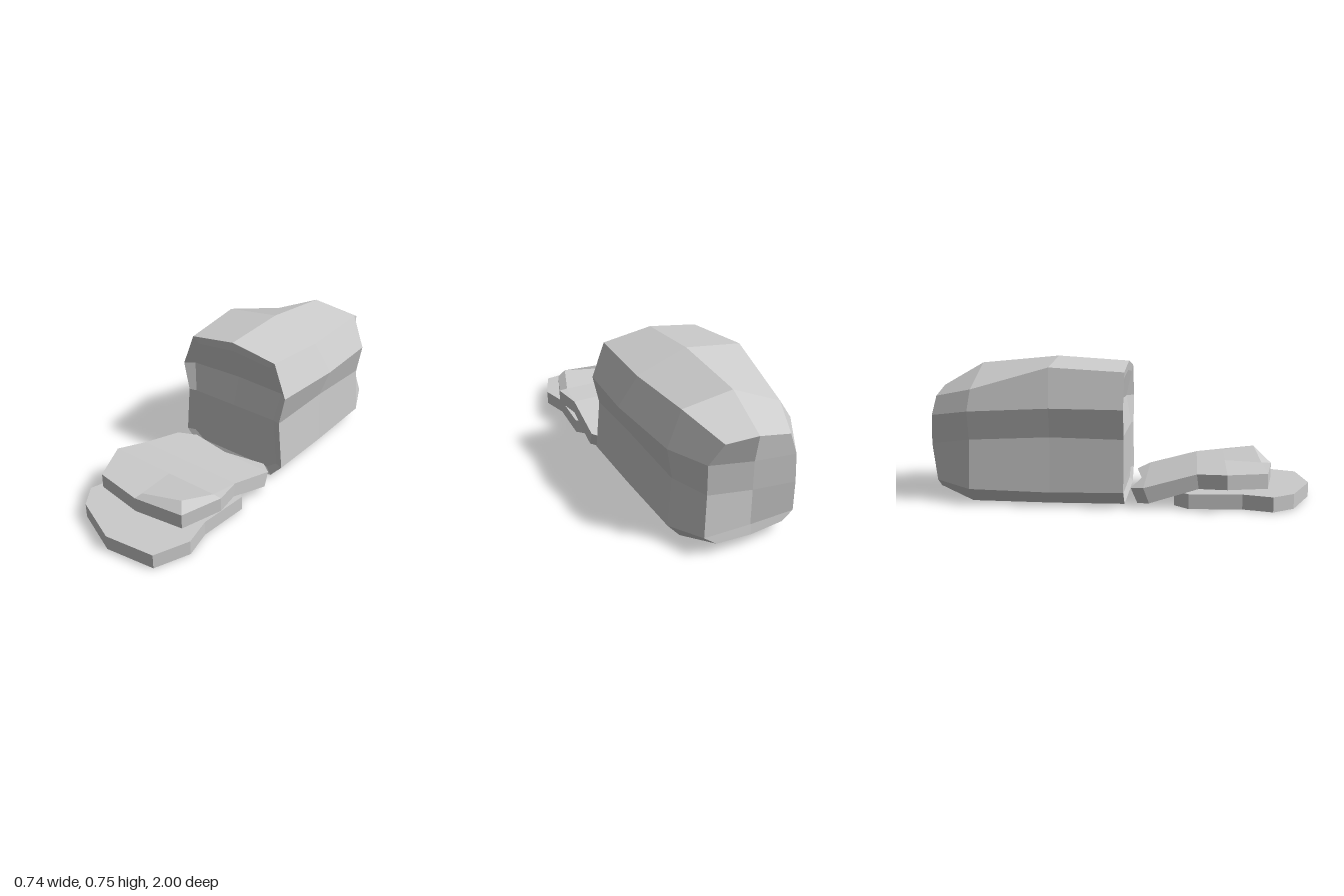
import * as THREE from 'three';

const ROWS = 5; // crown, shoulder, waist, foot, base: each row holds [left, centre, right] as seen face-on
const RIM = [[0, 0], [1, 0], [2, 0], [3, 0], [4, 0], [4, 1], [4, 2], [3, 2], [2, 2], [1, 2], [0, 2], [0, 1]];

// Lofts a stack of bread-shaped layers and caps the first and last with a 5 x 3 grid
function loft(name, layers) {
  const pos = [];
  const nor = [];
  // One facet with a single normal, split along its shorter diagonal
  const quad = (...corners) => {
    const [a, b, c, d] = corners.map(p => new THREE.Vector3(...p));
    const n = c.clone().sub(a).cross(d.clone().sub(b));
    if (n.length() < 1e-7) return;
    n.normalize();
    const order = a.distanceTo(c) < b.distanceTo(d) ? [a, b, c, a, c, d] : [a, b, d, b, c, d];
    order.forEach(v => {
      pos.push(v.x, v.y, v.z);
      nor.push(n.x, n.y, n.z);
    });
  };
  const cap = (g, flip) => {
    for (let r = 0; r < ROWS - 1; r++) {
      for (let c = 0; c < 2; c++) {
        const q = [g[r][c], g[r + 1][c], g[r + 1][c + 1], g[r][c + 1]];
        quad(...(flip ? q.reverse() : q));
      }
    }
  };
  for (let k = 0; k < layers.length - 1; k++) {
    const [a, b] = [layers[k], layers[k + 1]].map(g => RIM.map(([r, c]) => g[r][c]));
    a.forEach((p, i) => {
      const j = (i + 1) % a.length;
      quad(p, b[i], b[j], a[j]);
    });
  }
  cap(layers[0], false);
  cap(layers[layers.length - 1], true);

  const geometry = new THREE.BufferGeometry();
  geometry.setAttribute('position', new THREE.Float32BufferAttribute(pos, 3));
  geometry.setAttribute('normal', new THREE.Float32BufferAttribute(nor, 3));
  const mesh = new THREE.Mesh(geometry, new THREE.MeshStandardMaterial({ color: 0xcccccc }));
  mesh.name = name;
  return mesh;
}

// Upright layer from rows of [xMin, xMax, yMin side, yCentre, yMax side] at depth z
const upright = (z, rows) => rows.map(([x0, x1, y0, yc, y1]) => [[x0, y0, z], [0, yc, z], [x1, y1, z]]);

// Lying layer from rows of [xMin, xMax, z at xMin, zCentre, z at xMax, y], crown towards the front
const lying = rows => rows.map(([x0, x1, z0, zc, z1, y]) => [[x1, y, z1], [0, y, zc], [x0, y, z0]]);

function makeLoaf() {
  const cut = upright(0.03, [
    [-0.272, 0.268, 0.69, 0.73, 0.69],
    [-0.345, 0.338, 0.508, 0.508, 0.508],
    [-0.312, 0.305, 0.353, 0.353, 0.353],
    [-0.335, 0.33, 0.085, 0.085, 0.085],
    [-0.26, 0.26, 0.008, 0.005, 0.008],
  ]);
  // Slightly hollowed crumb inside the cut crust
  const depth = [0.005, 0.04, 0.01, 0.015, 0.015];
  const crumb = cut.map((row, r) => row.map(([x, y, z]) =>
    [x * 0.86, r === 0 ? (x ? 0.655 : 0.68) : r === 4 ? 0.04 : y, z - depth[r] - (!x && r === 1 ? 0.015 : 0)]));
  const middle = upright(-0.35, [
    [-0.31, 0.265, 0.715, 0.755, 0.66],
    [-0.335, 0.37, 0.51, 0.52, 0.52],
    [-0.31, 0.312, 0.36, 0.36, 0.365],
    [-0.325, 0.325, 0.075, 0.075, 0.075],
    [-0.26, 0.26, 0.005, 0, 0.005],
  ]);
  const rear = upright(-0.77, [
    [-0.265, 0.262, 0.595, 0.715, 0.68],
    [-0.335, 0.332, 0.49, 0.5, 0.5],
    [-0.305, 0.305, 0.34, 0.34, 0.34],
    [-0.33, 0.325, 0.085, 0.085, 0.085],
    [-0.26, 0.26, 0.008, 0.005, 0.008],
  ]);
  // Rounded heel, pinched on one side
  const end = [
    [[-0.175, 0.55, -0.98], [0, 0.59, -0.99], [0.165, 0.585, -0.975]],
    [[-0.2, 0.45, -1], [0, 0.45, -0.965], [0.205, 0.455, -0.91]],
    [[-0.21, 0.3, -1], [0, 0.3, -0.965], [0.205, 0.3, -0.91]],
    [[-0.24, 0.11, -0.965], [0, 0.11, -0.965], [0.24, 0.11, -0.955]],
    [[-0.18, 0.065, -0.965], [0, 0.06, -0.975], [0.18, 0.065, -0.965]],
  ];
  return loft('loaf', [crumb, cut, middle, rear, end]);
}

function makeFlatSlice() {
  const slab = y => lying([
    [-0.262, 0.266, 0.89, 0.998, 0.96, y],
    [-0.343, 0.337, 0.78, 0.78, 0.78, y],
    [-0.3, 0.3, 0.63, 0.63, 0.63, y],
    [-0.32, 0.318, 0.36, 0.36, 0.36, y],
    [-0.25, 0.25, 0.285, 0.3, 0.285, y],
  ]);
  return loft('flatSlice', [slab(0.082), slab(0.005)]);
}

function makeLeaningSlice() {
  const top = lying([
    [-0.272, 0.266, 0.757, 0.797, 0.757, 0.185],
    [-0.37, 0.337, 0.55, 0.55, 0.55, 0.195],
    [-0.31, 0.305, 0.4, 0.4, 0.4, 0.183],
    [-0.32, 0.315, 0.13, 0.13, 0.13, 0.108],
    [-0.24, 0.235, 0.06, 0.1, 0.06, 0.088],
  ]);
  const under = lying([
    [-0.272, 0.266, 0.757, 0.797, 0.757, 0.108],
    [-0.37, 0.337, 0.55, 0.55, 0.55, 0.12],
    [-0.31, 0.305, 0.41, 0.41, 0.41, 0.108],
    [-0.32, 0.315, 0.16, 0.16, 0.16, 0.03],
    [-0.24, 0.235, 0.095, 0.13, 0.095, 0.008],
  ]);
  // Raised lip on the front left corner of the upper face
  const face = top.map(row => [...row]);
  face[0][0] = [0.235, 0.235, 0.72];
  face[0][1] = [0, 0.186, 0.747];
  face[1][0] = [0.29, 0.198, 0.55];
  return loft('leaningSlice', [face, top, under]);
}

export function createModel() {
  const group = new THREE.Group();
  group.name = 'slicedBread';
  group.add(makeLoaf(), makeFlatSlice(), makeLeaningSlice());
  return group;
}
